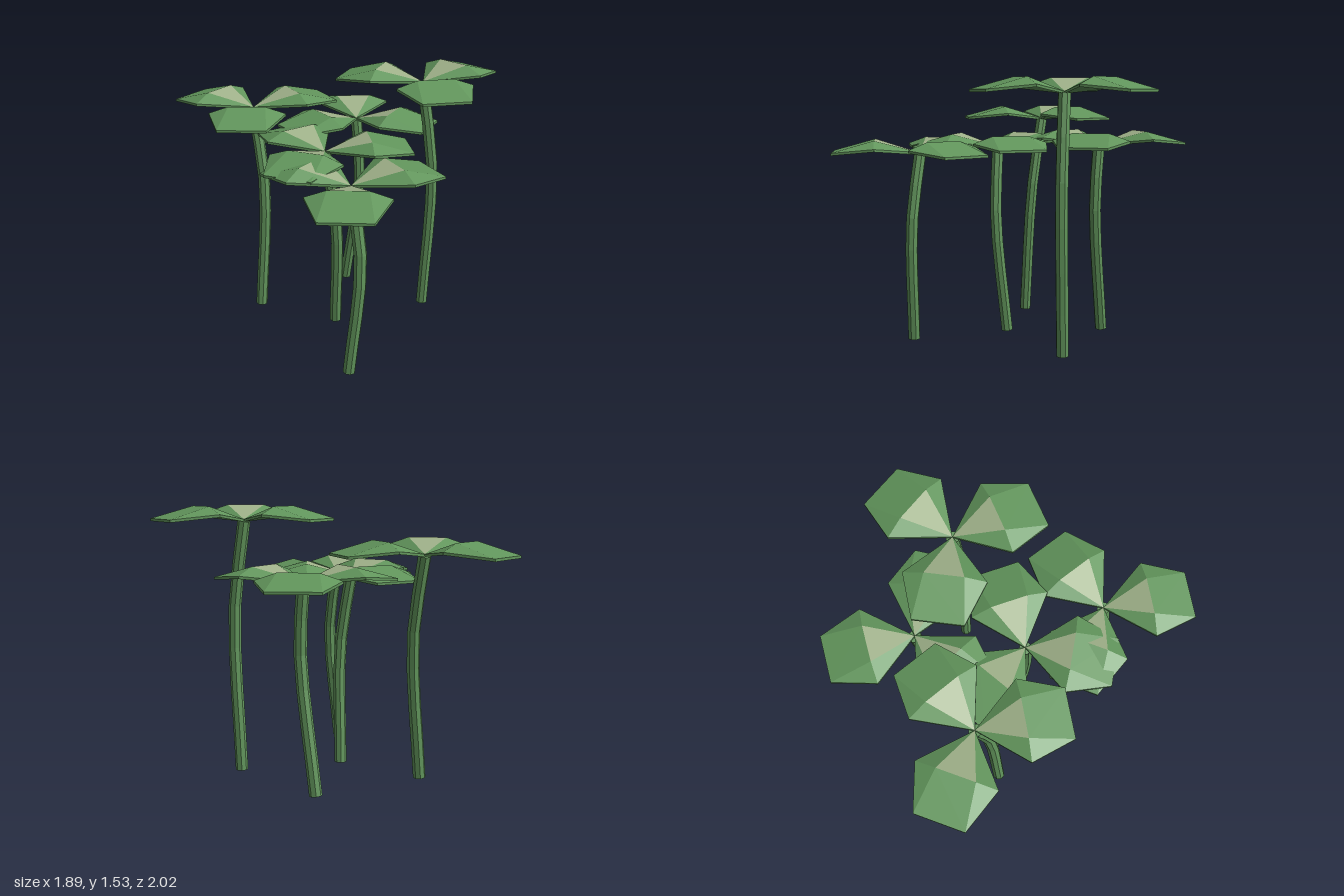
import * as THREE from 'three';

const green = new THREE.MeshStandardMaterial({ color: 0x62965c });
green.name = 'leaf green';
const pale = new THREE.MeshStandardMaterial({ color: 0xa0b28a });
pale.name = 'pale leaf marking';

// Leaf points: distance from the stem, height, sideways offset
const P = [
  [0, 0, 0],                                  // 0 root
  [0.25, 0.035, 0.22], [0.49, 0.01, 0.136],   // 1 side, 2 tip
  [0.49, 0.01, -0.136], [0.25, 0.035, -0.22], // 3 tip, 4 side
  [0.255, 0.075, 0.105], [0.255, 0.075, -0.105], // 5, 6 crest
];
const THICK = 0.014;
const low = P.map(([r, y, s]) => [r, y - THICK, s]);

// Flat-shaded geometry from a list of triangles
function faceted(tris) {
  const g = new THREE.BufferGeometry();
  g.setAttribute('position', new THREE.Float32BufferAttribute(tris.flat(2), 3));
  g.computeVertexNormals();
  return g;
}

const blade = [[0, 1, 5], [1, 2, 5], [5, 2, 3], [5, 3, 6], [6, 3, 4], [0, 6, 4]];
const marking = [[0, 5, 6]];

function bladeGeometry() {
  const tris = blade.map(f => f.map(i => P[i]));
  // Underside
  for (const [a, b, c] of [...blade, ...marking]) tris.push([low[a], low[c], low[b]]);
  // Rim
  for (let a = 0; a < 5; a++) {
    const b = (a + 1) % 5;
    tris.push([P[a], low[a], low[b]], [P[a], low[b], P[b]]);
  }
  return faceted(tris);
}

// Bent stem through three points, closed at both ends
function makeStem(points) {
  const stem = new THREE.Group();
  stem.name = 'stem';
  const curve = new THREE.CatmullRomCurve3(points.map(p => new THREE.Vector3(...p)));
  const tube = new THREE.TubeGeometry(curve, 6, 0.036, 8).toNonIndexed();
  tube.computeVertexNormals();
  const body = new THREE.Mesh(tube, green);
  body.name = 'stemBody';
  stem.add(body);
  for (const t of [0, 1]) {
    const cap = new THREE.Mesh(new THREE.CircleGeometry(0.036, 8), green);
    cap.name = t ? 'stemTopCap' : 'stemFoot';
    cap.position.copy(curve.getPoint(t));
    const out = curve.getTangent(t).multiplyScalar(t ? 1 : -1);
    cap.quaternion.setFromUnitVectors(new THREE.Vector3(0, 0, 1), out);
    stem.add(cap);
  }
  return stem;
}

// Each plant: foot, bend, crown, and the heading of its first leaf in degrees
const plants = [
  { foot: [-0.525, 0.005, -0.345], bend: [-0.47, 0.8, -0.365], crown: [-0.505, 1.28, -0.45], turn: 105.5 },
  { foot: [-0.11, 0.005, -0.035], bend: [-0.115, 0.7, 0.035], crown: [-0.17, 1.125, 0], turn: 6 },
  { foot: [0.087, 0.005, -0.58], bend: [0.16, 0.77, -0.485], crown: [0.145, 1.145, -0.513], turn: -80.5 },
  { foot: [0.48, 0.005, -0.115], bend: [0.505, 0.93, -0.088], crown: [0.445, 1.455, -0.13], turn: -27 },
  { foot: [-0.165, 0.005, 0.54], bend: [-0.105, 0.7, 0.56], crown: [-0.14, 1.105, 0.495], turn: 107 },
];

export function createModel() {
  const model = new THREE.Group();
  model.name = 'cloverPatch';
  const bladeGeo = bladeGeometry();
  const markGeo = faceted(marking.map(f => f.map(i => P[i])));

  for (const { foot, bend, crown, turn } of plants) {
    const plant = new THREE.Group();
    plant.name = 'clover';
    const top = [crown[0], crown[1] - 0.01, crown[2]];
    plant.add(makeStem([foot, bend, top]));
    // Three leaves around the crown
    for (let i = 0; i < 3; i++) {
      const leaf = new THREE.Group();
      leaf.name = 'leaf';
      const body = new THREE.Mesh(bladeGeo, green);
      body.name = 'leafBlade';
      const mark = new THREE.Mesh(markGeo, pale);
      mark.name = 'leafMarking';
      leaf.add(body, mark);
      leaf.position.set(...crown);
      leaf.rotation.y = -THREE.MathUtils.degToRad(turn + i * 120);
      plant.add(leaf);
    }
    model.add(plant);
  }
  return model;
}
